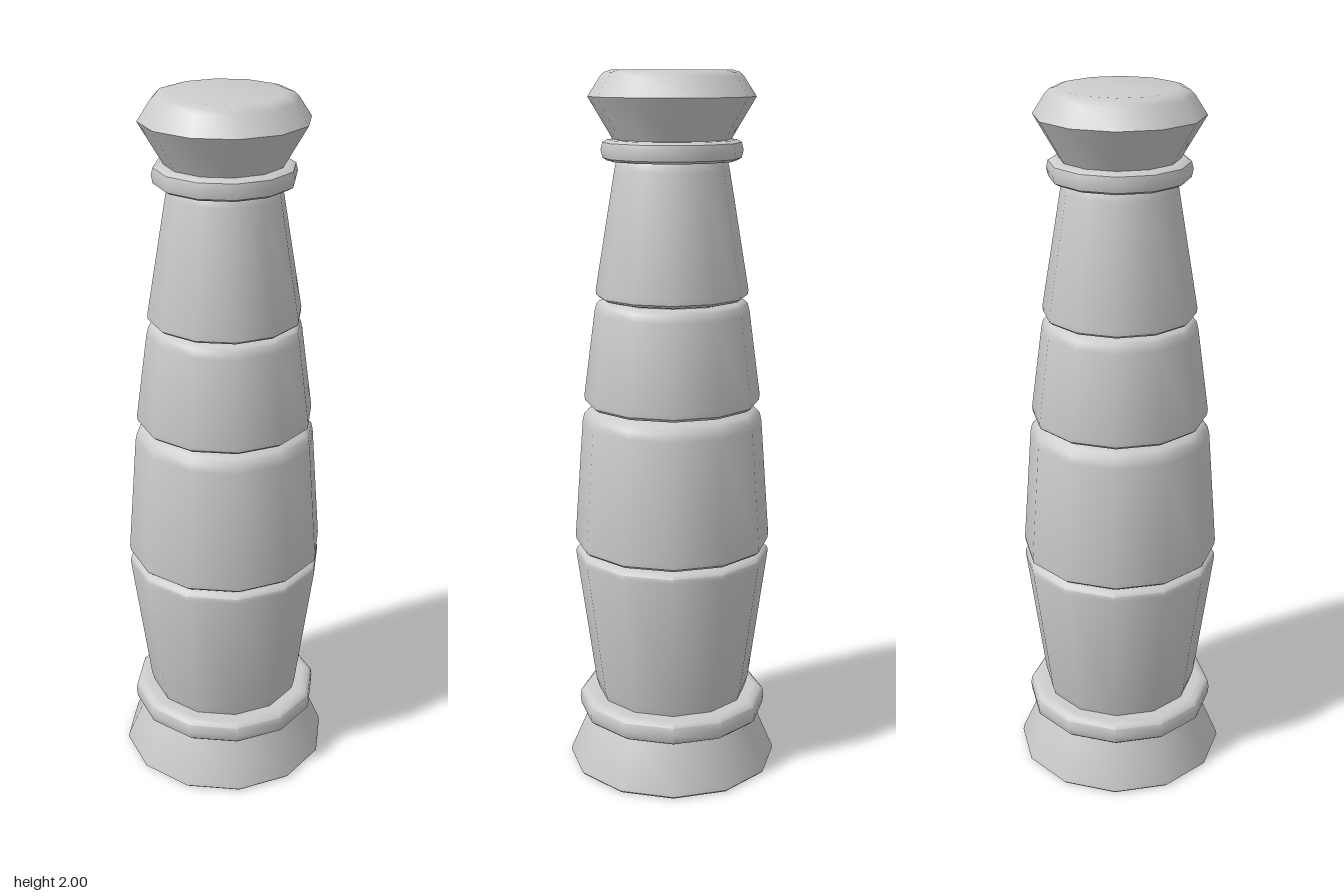
import * as THREE from 'three';
import { toCreasedNormals } from 'three/addons/utils/BufferGeometryUtils.js';

const SIDES = 12;

export function createModel() {
  const model = new THREE.Group();
  model.name = 'turnedPost';
  const material = new THREE.MeshStandardMaterial({ color: 0xcccccc, side: THREE.DoubleSide });

  // Turns a [radius, height] profile, listed from bottom to top, about the y axis.
  const turn = (name, profile) => {
    const points = profile.map(([r, y]) => new THREE.Vector2(r, y));
    const geometry = toCreasedNormals(new THREE.LatheGeometry(points, SIDES), 0.72);
    const mesh = new THREE.Mesh(geometry, material);
    mesh.name = name;
    model.add(mesh);
  };

  // Flared, open foot with a thin lip
  turn('foot', [[0.285, 0.012], [0.29, 0.003], [0.297, 0], [0.303, 0.006], [0.301, 0.018], [0.245, 0.148]]);

  // Rounded rings below and above the shaft
  turn('lowerCollar', [
    [0.245, 0.148], [0.262, 0.15], [0.271, 0.158], [0.274, 0.18],
    [0.271, 0.202], [0.262, 0.211], [0.245, 0.214], [0.217, 0.214],
  ]);
  turn('upperCollar', [
    [0.15, 1.76], [0.178, 1.76], [0.19, 1.767], [0.195, 1.788],
    [0.19, 1.809], [0.178, 1.816], [0.162, 1.817],
  ]);

  // Tapering shaft segments with softened rims, meeting in narrow grooves
  turn('shaftBottom', [
    [0.217, 0.214], [0.225, 0.24], [0.279, 0.635], [0.278, 0.648], [0.27, 0.657], [0.25, 0.662],
  ]);
  turn('shaftLowerMiddle', [
    [0.25, 0.662], [0.268, 0.668], [0.278, 0.676], [0.28, 0.69],
    [0.255, 1.03], [0.25, 1.052], [0.237, 1.066], [0.21, 1.075],
  ]);
  turn('shaftUpperMiddle', [
    [0.21, 1.075], [0.235, 1.081], [0.247, 1.09], [0.249, 1.104],
    [0.217, 1.345], [0.212, 1.366], [0.203, 1.375], [0.185, 1.38],
  ]);
  turn('shaftTop', [
    [0.185, 1.38], [0.203, 1.385], [0.212, 1.392], [0.213, 1.405],
    [0.158, 1.735], [0.154, 1.752], [0.15, 1.76],
  ]);

  // Flared cap with a bevelled shoulder and flat top
  turn('cap', [
    [0.162, 1.817], [0.229, 1.93], [0.195, 1.982], [0.183, 1.994], [0.163, 2], [0, 2],
  ]);

  return model;
}
